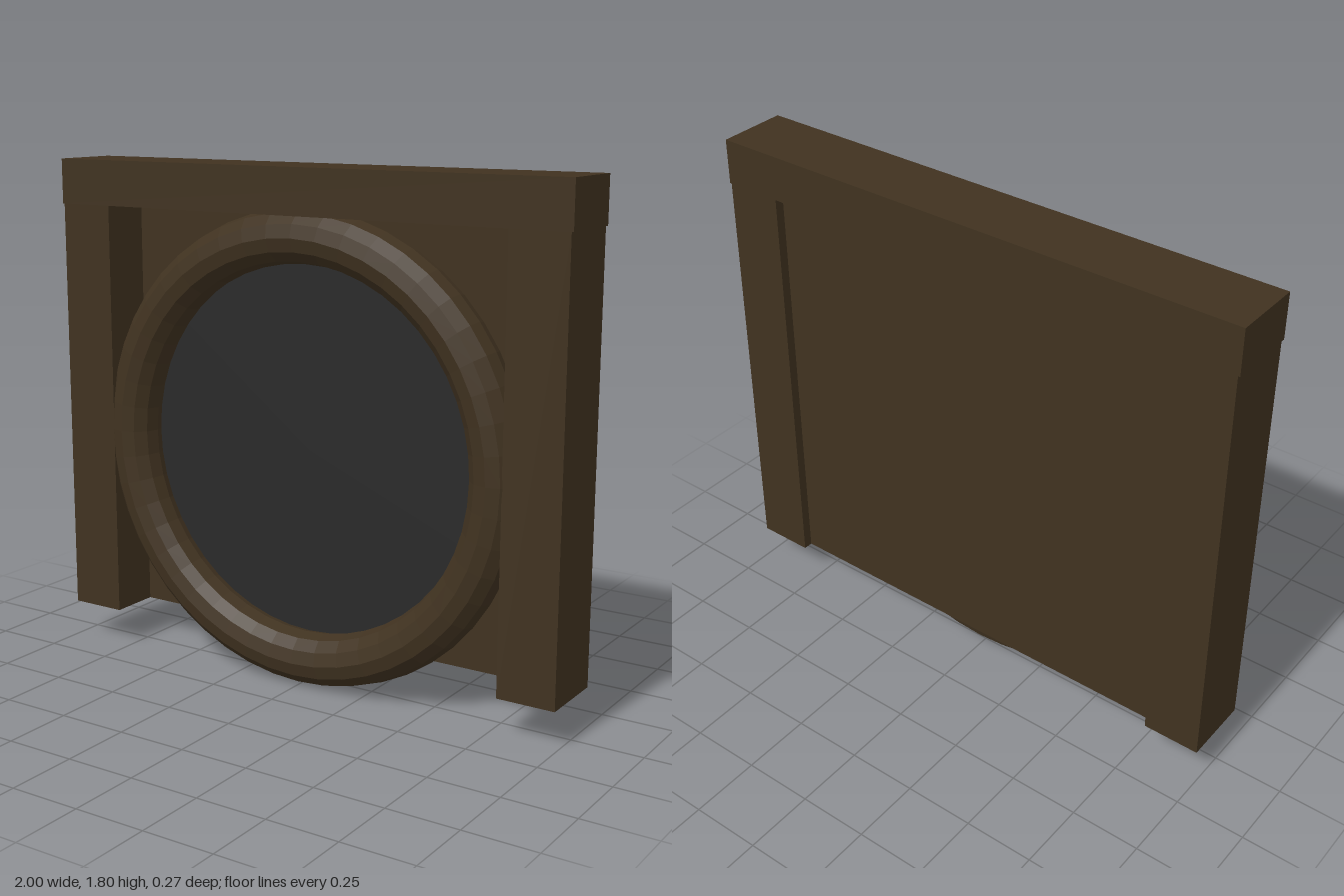
import * as THREE from 'three';

export function createModel() {
  const group = new THREE.Group();
  const wood = new THREE.MeshStandardMaterial({ color: 0x403220, flatShading: true });
  wood.name = 'dark brown wood';
  const glass = new THREE.MeshStandardMaterial({ color: 0x2a2a2a, flatShading: true });
  glass.name = 'dark grey';

  function add(name, geometry, material, x, y, z) {
    const mesh = new THREE.Mesh(geometry, material);
    mesh.name = name;
    mesh.position.set(x, y, z);
    group.add(mesh);
    return mesh;
  }

  // Frame: lintel resting on two slightly narrower posts
  add('lintel', new THREE.BoxGeometry(2, 0.16, 0.252), wood, 0, 1.72, -0.009);
  for (const side of [-1, 1]) {
    add(side > 0 ? 'leftPost' : 'rightPost',
      new THREE.BoxGeometry(0.206, 1.506, 0.252), wood, side * 0.89, 0.887, -0.009);
  }

  // Recessed panel near the back of the frame
  add('backPanel', new THREE.BoxGeometry(1.58, 1.506, 0.035), wood, 0, 0.887, -0.083);

  // Round faceted ring with a dark disc set back in its opening
  add('ring', new THREE.TorusGeometry(0.738, 0.093, 12, 48), wood, 0, 0.831, 0.042);
  const disc = add('disc', new THREE.CylinderGeometry(0.655, 0.655, 0.015, 48), glass, 0, 0.831, 0.004);
  disc.rotation.x = Math.PI / 2;

  return group;
}
